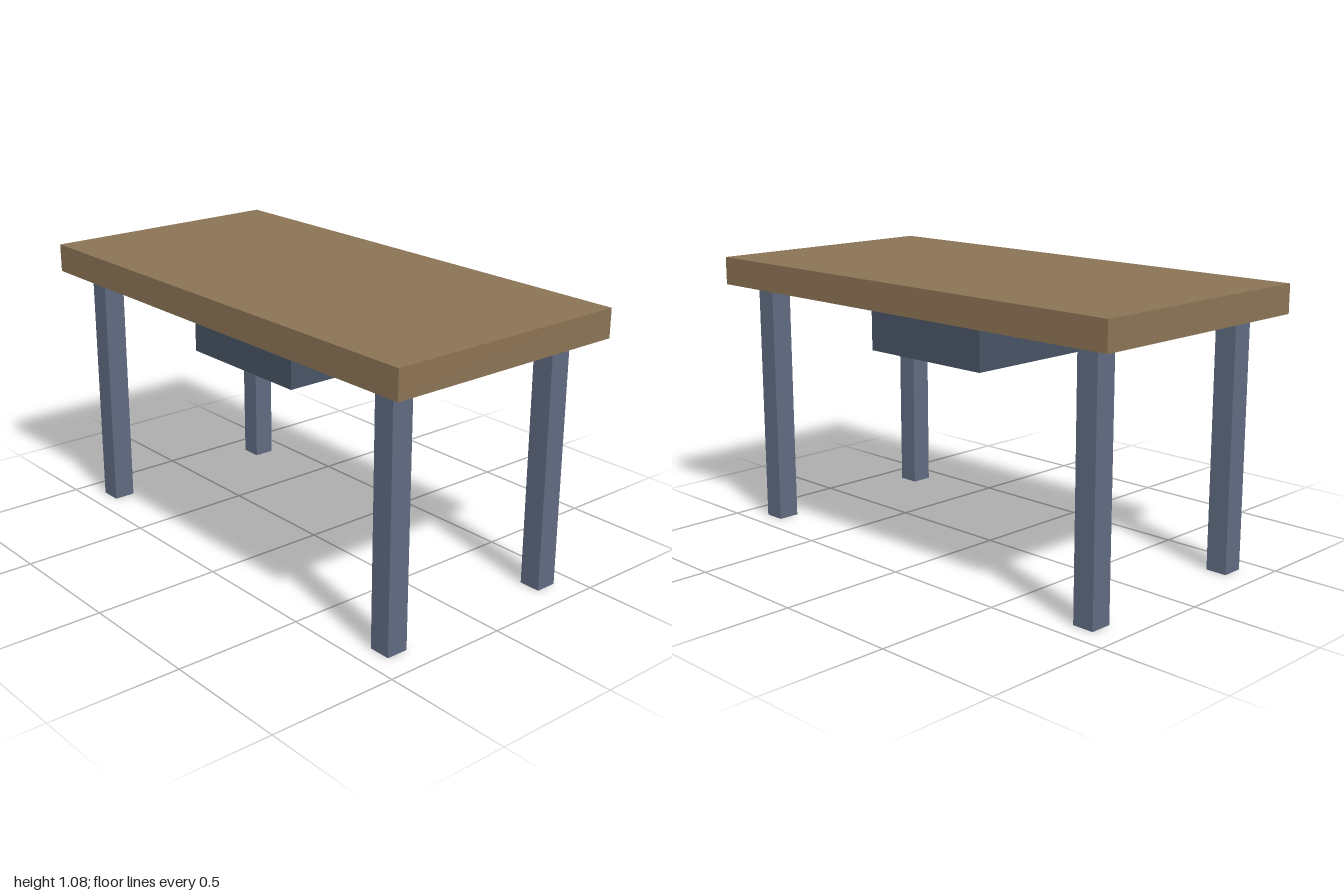
import * as THREE from 'three';

const wood = new THREE.MeshStandardMaterial({ color: 0x8b7355 });
const steel = new THREE.MeshStandardMaterial({ color: 0x5f6b80 });
const darkSteel = new THREE.MeshStandardMaterial({ color: 0x475364 });

// Box spanning bottom..top in y, centred on (x, z)
function box(name, material, width, depth, bottom, top, x = 0, z = 0) {
  const mesh = new THREE.Mesh(new THREE.BoxGeometry(width, top - bottom, depth), material);
  mesh.position.set(x, (bottom + top) / 2, z);
  mesh.name = name;
  return mesh;
}

export function createModel() {
  const desk = new THREE.Group();
  desk.name = 'desk';
  const underside = 0.97;

  desk.add(box('tabletop', wood, 2, 1, underside, 1.08));

  // Storage box hung under the middle of the top
  desk.add(box('drawerBox', darkSteel, 0.576, 0.69, 0.777, underside));

  // Four square legs
  for (const [side, sx] of [['Left', 1], ['Right', -1]]) {
    for (const [end, sz] of [['front', 1], ['back', -1]]) {
      desk.add(box(`${end}${side}Leg`, steel, 0.086, 0.086, 0, underside, sx * 0.85, sz * 0.376));
    }
  }
  return desk;
}
